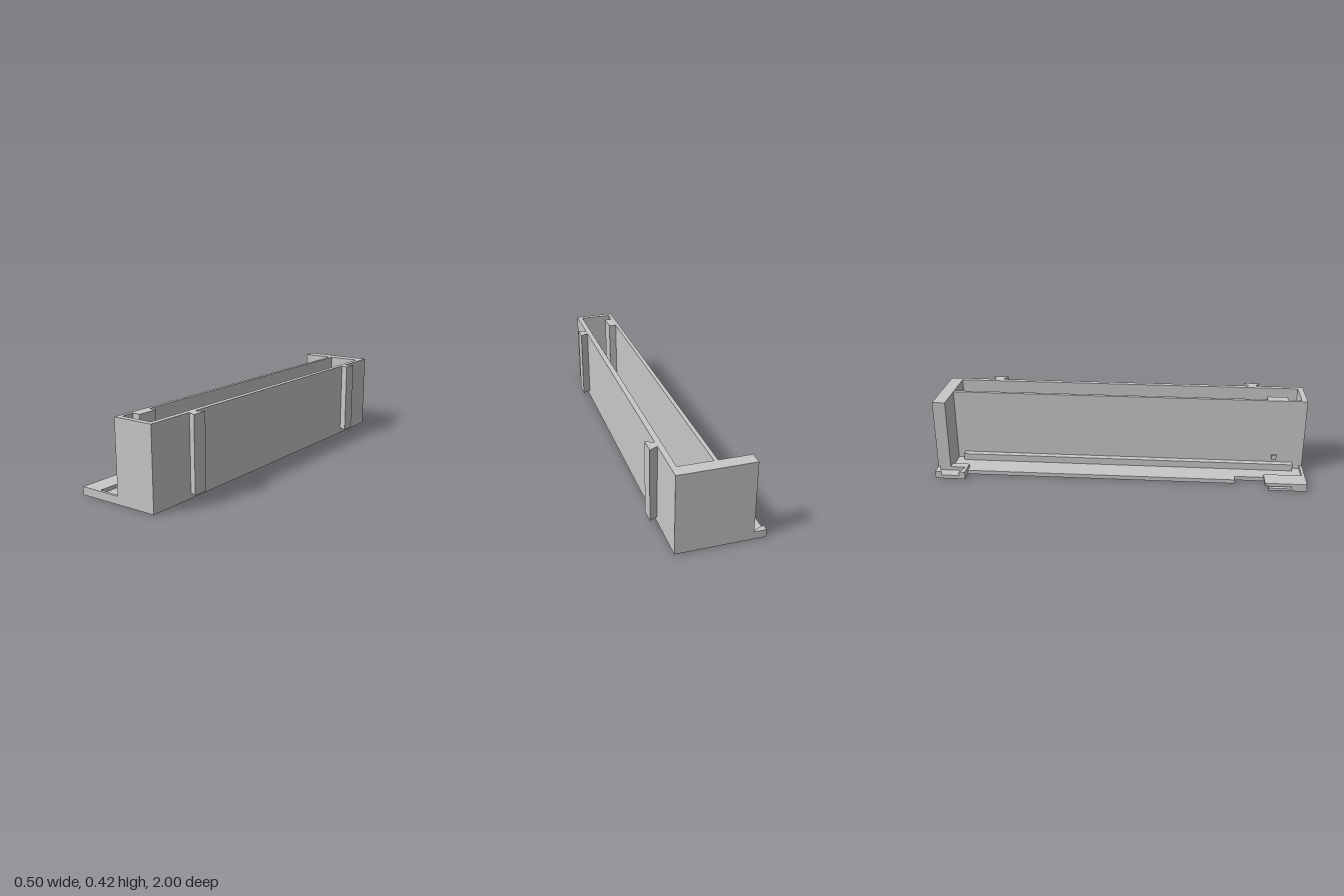
import * as THREE from 'three';

export function createModel() {
  const model = new THREE.Group();
  model.name = 'trough';
  const grey = new THREE.MeshStandardMaterial({ color: 0xc8c8c8 });
  grey.name = 'light grey plastic';

  // Upright prism from an [x, z] outline between two heights, optionally with a hole.
  // The hole runs the opposite way round, so that its walls face into the opening.
  const prism = (name, outline, y0, y1, hole) => {
    const points = (list) => list.map(([x, z]) => new THREE.Vector2(x, -z));
    const shape = new THREE.Shape(points(outline));
    if (hole) shape.holes.push(new THREE.Path(points(hole).reverse()));
    const geometry = new THREE.ExtrudeGeometry(shape, { depth: y1 - y0, bevelEnabled: false });
    geometry.rotateX(-Math.PI / 2);
    geometry.translate(0, y0, 0);
    const mesh = new THREE.Mesh(geometry, grey);
    mesh.name = name;
    model.add(mesh);
  };
  const rect = (x0, x1, z0, z1) => [[x0, z0], [x1, z0], [x1, z1], [x0, z1]];
  const block = (name, x0, x1, y0, y1, z0, z1) => prism(name, rect(x0, x1, z0, z1), y0, y1);

  const wall = -0.018, side = 0.204, edge = -0.185, tab = -0.248, inner = -0.143;
  const floorTop = 0.022, tabTop = 0.041, top = 0.419;

  // Long open trough; the cavity steps around a post near the front
  prism('troughWalls', rect(wall, side, -1, 1), 0.025, top, [
    [0.002, -0.931], [0.176, -0.931], [0.176, 0.97], [0.002, 0.97],
    [0.002, 0.9], [0.043, 0.9], [0.043, 0.79], [0.002, 0.79],
  ]);
  block('troughBottom', wall, side, 0, 0.025, -1, 1);

  // Tall end wall at the back
  block('backWall', edge, wall, 0, top, -1, -0.931);

  // Thin side floor, narrower at the front
  prism('sideFloor', [
    [wall, -0.931], [edge, -0.931], [edge, 0.625], [inner, 0.625], [inner, 0.985], [wall, 0.985],
  ], 0, floorTop);
  block('frontLip', inner, wall, 0, tabTop, 0.985, 1);
  block('ledge', -0.053, wall, floorTop, 0.059, -0.89, 0.945);
  block('peg', -0.03, wall, 0.074, 0.102, 0.83, 0.857);

  // Back tab with a dovetail pocket open to the side
  block('backTabBase', tab, edge, 0, 0.02, -1, -0.837);
  prism('backTabRear', [[tab, -1], [edge, -1], [edge, -0.99], [tab, -0.965]], 0.02, tabTop);
  prism('backTabFront', [[tab, -0.87], [edge, -0.85], [edge, -0.837], [tab, -0.837]], 0.02, tabTop);
  block('backTabInner', edge, inner, floorTop, tabTop, -0.931, -0.837);

  // Front tab, with a narrow slot between its layers
  block('frontTabLower', tab, inner, 0, 0.013, 0.8, 1);
  block('frontTabCore', tab, inner, 0.013, 0.024, 0.92, 1);
  block('frontTabUpper', tab, inner, 0.024, tabTop, 0.78, 1);

  // Dovetail rails on the outer side
  for (const z of [-0.72, 0.72]) {
    prism(z > 0 ? 'frontRail' : 'backRail', [
      [side, z - 0.02], [0.247, z - 0.041], [0.247, z + 0.041], [side, z + 0.02],
    ], 0.03, top);
  }
  return model;
}
